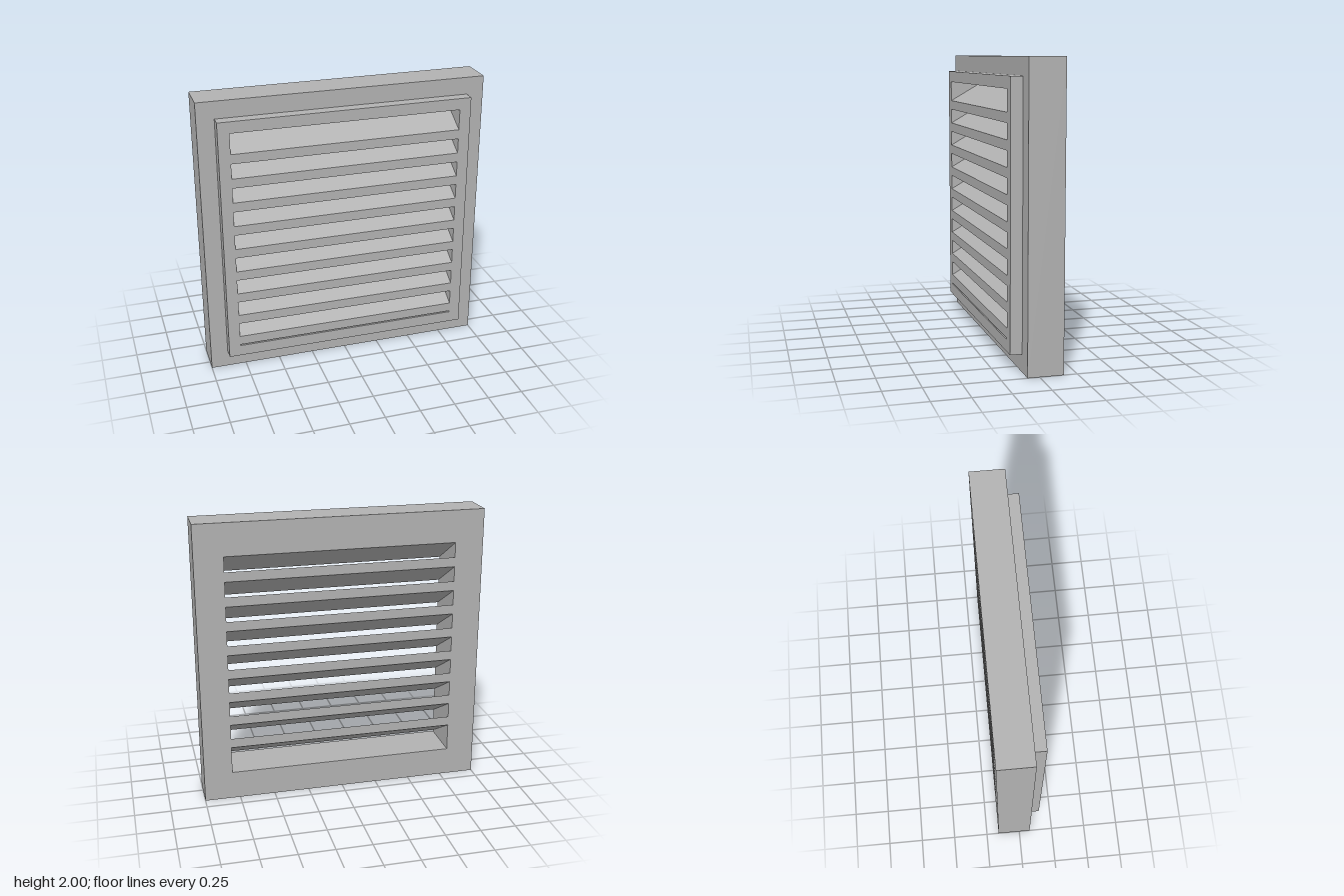
import * as THREE from 'three';

const BACK = -0.16, STEP = 0.08, FRONT = 0.16; // depth planes
const OPEN = 0.8;                              // half width of the opening
const OPEN_TOP = 1.8;

// Rectangle corners centred on x = 0, y = 1
const corners = (h, v) => [[-h, 1 - v], [h, 1 - v], [h, 1 + v], [-h, 1 + v]].map(([x, y]) => new THREE.Vector2(x, y));

// Square ring extruded between two depths
function ring(half, z0, z1) {
  const shape = new THREE.Shape(corners(half, half));
  shape.holes.push(new THREE.Path(corners(OPEN, OPEN)));
  return new THREE.ExtrudeGeometry(shape, { depth: z1 - z0, bevelEnabled: false }).translate(0, 0, z0);
}

// Slanted blade running across the opening, from a [z, y] side profile
function blade(profile) {
  const shape = new THREE.Shape(profile.map(([z, y]) => new THREE.Vector2(-z, y)));
  return new THREE.ExtrudeGeometry(shape, { depth: 2 * OPEN, bevelEnabled: false })
    .translate(0, 0, -OPEN)
    .rotateY(Math.PI / 2);
}

export function createModel() {
  const model = new THREE.Group();
  model.name = 'louverVent';
  const grey = new THREE.MeshStandardMaterial({ color: 0xb2b2b2 });
  grey.name = 'grey';

  const add = (name, geometry) => {
    const mesh = new THREE.Mesh(geometry, grey);
    mesh.name = name;
    model.add(mesh);
  };

  // Deep outer frame and the raised lip in front of it
  add('outerFrame', ring(1, BACK, STEP));
  add('frontLip', ring(0.88, STEP, FRONT));

  // Nine blades sloping up towards the back; the top one is cut by the frame
  const count = 9, pitch = 0.1724, thick = 0.067, rise = 0.185;
  for (let i = 0; i < count; i++) {
    const y = 0.209 + i * pitch;
    const topFront = y + thick, topBack = topFront + rise;
    const profile = [[FRONT, y], [FRONT, topFront]];
    if (topBack > OPEN_TOP) {
      const t = (OPEN_TOP - topFront) / rise;
      profile.push([FRONT + (BACK - FRONT) * t, OPEN_TOP], [BACK, OPEN_TOP]);
    } else {
      profile.push([BACK, topBack]);
    }
    profile.push([BACK, y + rise]);
    add(`slat${i + 1}`, blade(profile));
  }
  return model;
}
